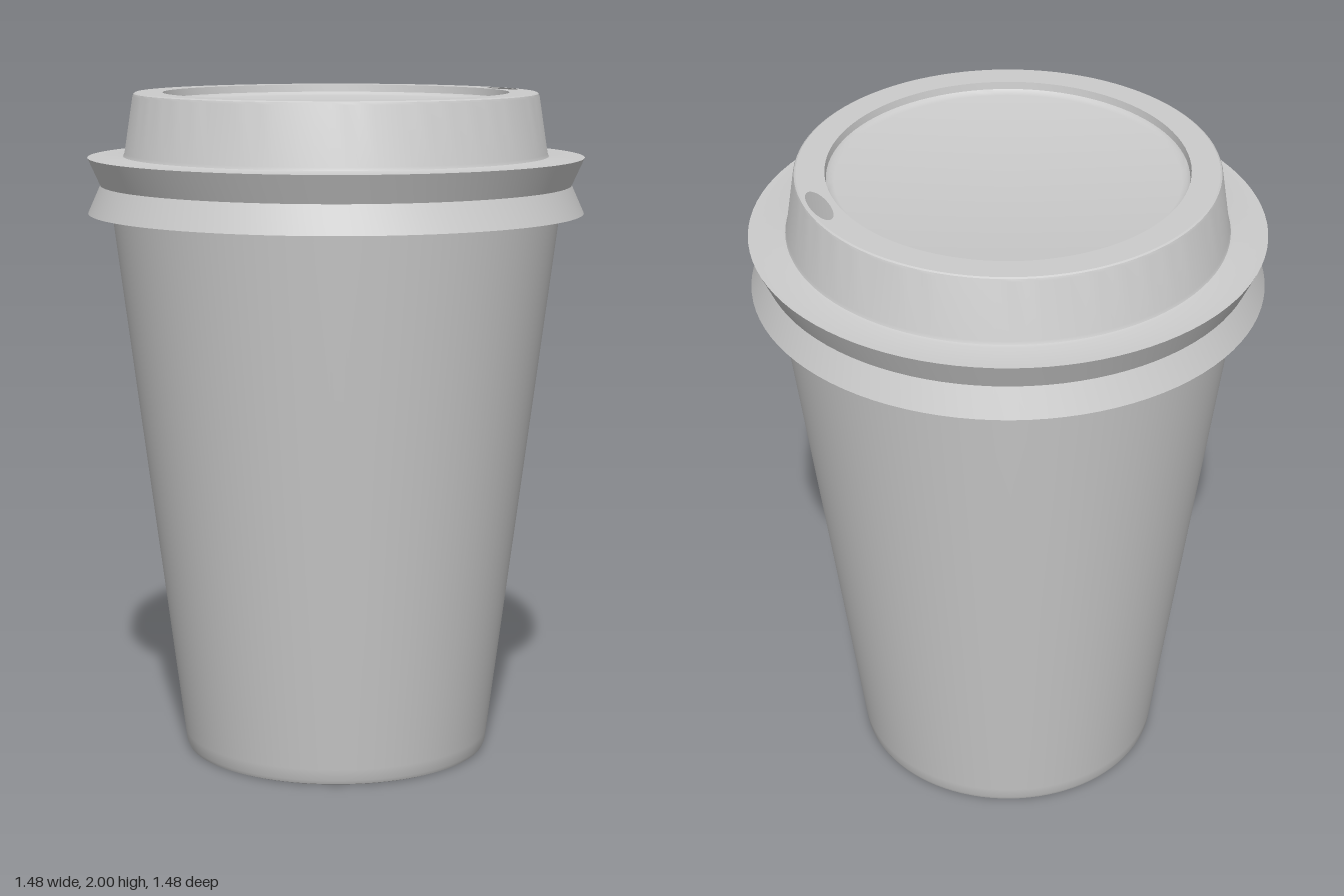
import * as THREE from 'three';
import { toCreasedNormals } from 'three/addons/utils/BufferGeometryUtils.js';

const SEGMENTS = 96;

export function createModel() {
  const group = new THREE.Group();
  const material = new THREE.MeshStandardMaterial({ color: 0xcccccc, side: THREE.DoubleSide });

  const add = (name, geometry) => {
    const mesh = new THREE.Mesh(geometry, material);
    mesh.name = name;
    group.add(mesh);
  };
  const lathe = (name, profile) => {
    const points = profile.map(([r, y]) => new THREE.Vector2(r, y));
    add(name, toCreasedNormals(new THREE.LatheGeometry(points, SEGMENTS), 0.6));
  };

  // Tapered paper cup, open at the top beneath the lid
  lathe('cup', [[0, 0], [0.448, 0], [0.457, 0.004], [0.462, 0.015], [0.467, 0.05], [0.668, 1.64], [0.685, 1.78]]);

  // Lid skirt: pinched rim, flat ledge and sloping collar
  lathe('lidSkirt', [
    [0.74, 1.645], [0.703, 1.728], [0.74, 1.81], [0.642, 1.81],
    [0.634, 1.813], [0.63, 1.822], [0.604, 1.99], [0.601, 1.997], [0.596, 2],
  ]);

  // Flat top ring with an oval sipping hole
  const ring = new THREE.Shape().absarc(0, 0, 0.596, 0, Math.PI * 2);
  const inner = new THREE.Path().absarc(0, 0, 0.515, 0, Math.PI * 2, true);
  const sip = new THREE.Path().absellipse(0.552, -0.108, 0.028, 0.084, 0, Math.PI * 2, true, -0.19);
  ring.holes.push(inner, sip);
  add('lidTopRing', new THREE.ShapeGeometry(ring, SEGMENTS / 2).rotateX(-Math.PI / 2).translate(0, 2, 0));

  // Shallow recessed panel in the middle of the lid
  lathe('lidRecess', [[0.515, 2], [0.512, 1.978], [0.504, 1.971], [0.49, 1.968], [0, 1.968]]);

  return group;
}
